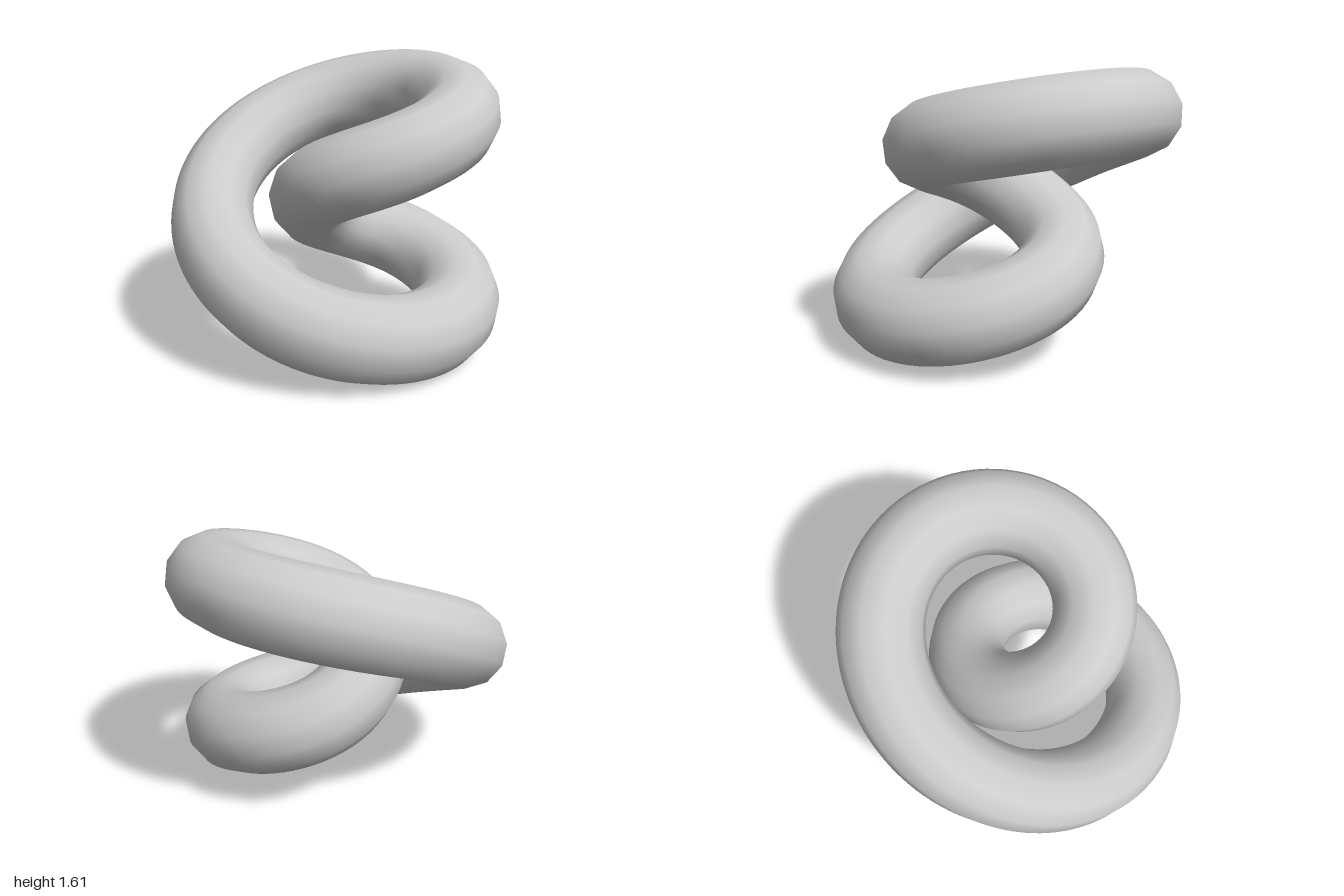
import * as THREE from 'three';

// Centreline: closed loop winding twice round the vertical axis,
// with a wide outer turn and a tight inner turn, tilted toward the front.
class DoubleLoop extends THREE.Curve {
  getPoint(t, target = new THREE.Vector3()) {
    const v = t * Math.PI * 2;
    const r = 1 + 0.5 * Math.cos(v);
    const side = r * Math.sin(2 * v);
    return target.set(
      0.135 - 0.565 * r * Math.cos(2 * v),
      0.8 - 0.486 * Math.sin(v) - 0.138 * side,
      0.56 * side
    );
  }
}

export function createModel() {
  const group = new THREE.Group();
  group.name = 'twistedRing';

  // Round tube swept along the loop
  const material = new THREE.MeshStandardMaterial({ color: 0xcccccc });
  const tube = new THREE.Mesh(new THREE.TubeGeometry(new DoubleLoop(), 160, 0.237, 12, true), material);
  tube.name = 'loopedTube';
  group.add(tube);

  return group;
}
